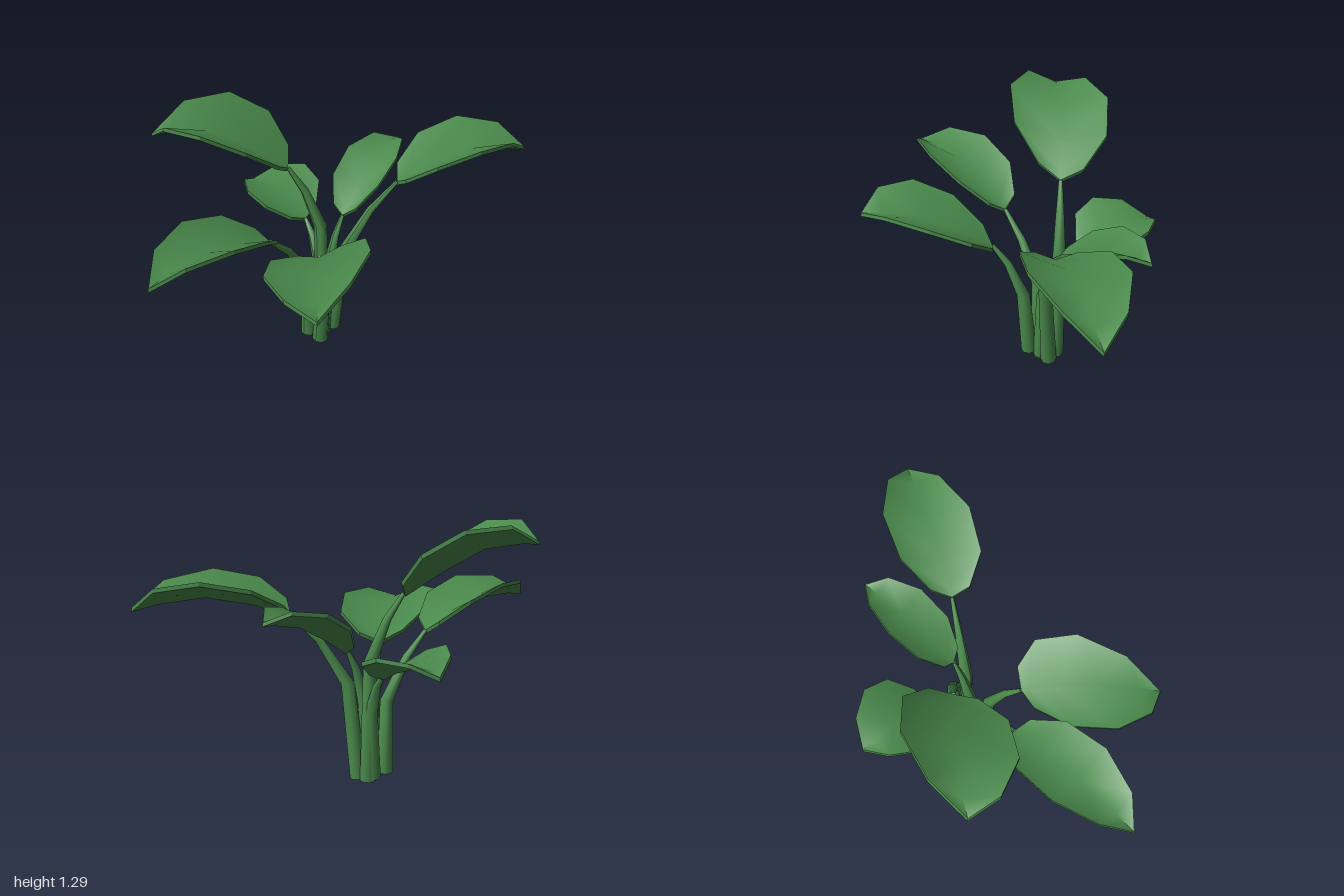
import * as THREE from 'three';
import { mergeGeometries } from 'three/addons/utils/BufferGeometryUtils.js';

const V = (p) => new THREE.Vector3(...p);

// Shared blade profile: position along the leaf, relative width and relative height of each edge pair
const ALONG = [0.03, 0.22, 0.53, 0.83];
const WIDTH = [0.45, 0.93, 1, 0.6];
const ARCH = [0.32, 0.82, 1, 0.68];
const THICKNESS = 0.02;

function meshGeometry(points, index) {
  const g = new THREE.BufferGeometry().setFromPoints(points);
  g.setIndex(index);
  return g;
}

// Arched leaf blade with raised edges, a sunken midrib and a thin rim
function leafGeometry({ base, tip, half, arch }) {
  const start = V(base), end = V(tip);
  const side = new THREE.Vector3(half[0], 0, half[1]);
  const n = end.clone().sub(start).cross(side).normalize();
  if (n.y < 0) {
    side.negate();
    n.negate();
  }
  const mids = ALONG.map((t, i) => {
    const p = start.clone().lerp(end, t);
    p.y += arch * ARCH[i];
    return p;
  });
  const left = mids.map((p, i) => p.clone().addScaledVector(side, WIDTH[i]));
  const right = mids.map((p, i) => p.clone().addScaledVector(side, -WIDTH[i]));
  const rib = mids.map((p, i) => p.clone().addScaledVector(n, -0.53 * arch * WIDTH[i] ** 0.3));
  rib[0] = start.clone().lerp(rib[1], 0.25);

  // Upper and lower skins: rows of right edge, rib and left edge
  const top = [start, start, start];
  for (let i = 0; i < 4; i++) top.push(right[i], rib[i], left[i]);
  top.push(end, end, end);
  const under = (p) => p.clone().addScaledVector(n, -THICKNESS);
  const up = [], down = [];
  for (let r = 0; r < 5; r++) {
    for (let c = 0; c < 2; c++) {
      const p = r * 3 + c, q = p + 3;
      // split the quads symmetrically about the rib, skipping collapsed ends
      const tris = c === 0 ? [[p, q, p + 1], [q, q + 1, p + 1]] : [[p, q, q + 1], [p, q + 1, p + 1]];
      for (const [i, j, k] of tris) {
        if (top[i].equals(top[j]) || top[j].equals(top[k]) || top[i].equals(top[k])) continue;
        up.push(i, j, k);
        down.push(i, k, j);
      }
    }
  }
  const skins = [meshGeometry(top, up), meshGeometry(top.map(under), down)].map((g) => {
    g.computeVertexNormals();
    return g.toNonIndexed();
  });

  // Rim around the outline
  const loop = [start, ...right, end, ...left.slice().reverse()];
  const count = loop.length, rimIndex = [];
  for (let i = 0; i < count; i++) {
    const j = (i + 1) % count;
    rimIndex.push(i + count, j + count, j, i + count, j, i);
  }
  const rim = meshGeometry([...loop, ...loop.map(under)], rimIndex).toNonIndexed();
  rim.computeVertexNormals();
  return mergeGeometries([...skins, rim]);
}

// Tapering stem: a cylinder whose rings are moved onto a bent path from foot to leaf
function stemGeometry({ foot, elbow, base }) {
  const bend = V(elbow), head = V(base);
  const shoulder = bend.clone().lerp(head, 0.5);
  shoulder.y += 0.04;
  const pts = [V(foot), bend, shoulder, head], last = pts.length - 1;
  const radii = [0.041, 0.033, 0.02, 0.01];
  const turns = pts.map((p, i) => {
    const dir = pts[Math.min(i + 1, last)].clone().sub(pts[Math.max(i - 1, 0)]).normalize();
    return new THREE.Quaternion().setFromUnitVectors(new THREE.Vector3(0, 1, 0), dir);
  });
  const g = new THREE.CylinderGeometry(1, 1, 1, 8, last);
  const pos = g.attributes.position, v = new THREE.Vector3();
  for (let i = 0; i < pos.count; i++) {
    v.fromBufferAttribute(pos, i);
    const ring = Math.round((v.y + 0.5) * last);
    v.y = 0;
    v.multiplyScalar(radii[ring]).applyQuaternion(turns[ring]).add(pts[ring]);
    pos.setXYZ(i, v.x, v.y, v.z);
  }
  g.computeVertexNormals();
  return g;
}

// Each shoot: stem foot and elbow, leaf base and tip, half width as x and z, arch height
const shoots = [
  { name: 'tallLeft', foot: [-0.06, 0.02, -0.13], elbow: [-0.075, 0.62, -0.13],
    base: [-0.19, 0.96, -0.02], tip: [-0.62, 1.2, 0.44], half: [0.115, 0.225], arch: 0.19 },
  { name: 'backRight', foot: [0, 0.02, -0.14], elbow: [0.05, 0.5, -0.16],
    base: [0.21, 0.86, -0.38], tip: [0.585, 0.92, -1], half: [0.15, 0.145], arch: 0.165 },
  { name: 'frontCentre', foot: [-0.06, 0.03, -0.01], elbow: [-0.06, 0.4, 0],
    base: [-0.08, 0.72, 0.26], tip: [-0.13, 0.84, 0.99], half: [0.172, 0.02], arch: 0.155 },
  { name: 'frontRight', foot: [0.015, 0.02, -0.01], elbow: [0.045, 0.38, 0],
    base: [0.12, 0.65, 0.14], tip: [0.51, 0.77, 0.675], half: [0.125, -0.22], arch: 0.14 },
  { name: 'back', foot: [-0.015, 0.005, -0.07], elbow: [0, 0.4, -0.095],
    base: [0.01, 0.68, -0.2], tip: [-0.025, 0.9, -0.73], half: [0.135, -0.02], arch: 0.12 },
  { name: 'lowLeft', foot: [-0.07, 0.03, -0.11], elbow: [-0.08, 0.37, -0.13],
    base: [-0.21, 0.59, -0.18], tip: [-0.61, 0.67, -0.24], half: [0.025, -0.205], arch: 0.12 },
];

export function createModel() {
  const green = new THREE.MeshStandardMaterial({ color: 0x4a8a4c });
  green.name = 'leafGreen';
  const group = new THREE.Group();
  group.name = 'leafyPlant';
  for (const shoot of shoots) {
    const leaf = new THREE.Mesh(leafGeometry(shoot), green);
    leaf.name = shoot.name + 'Leaf';
    const stem = new THREE.Mesh(stemGeometry(shoot), green);
    stem.name = shoot.name + 'Stem';
    group.add(leaf, stem);
  }
  return group;
}
